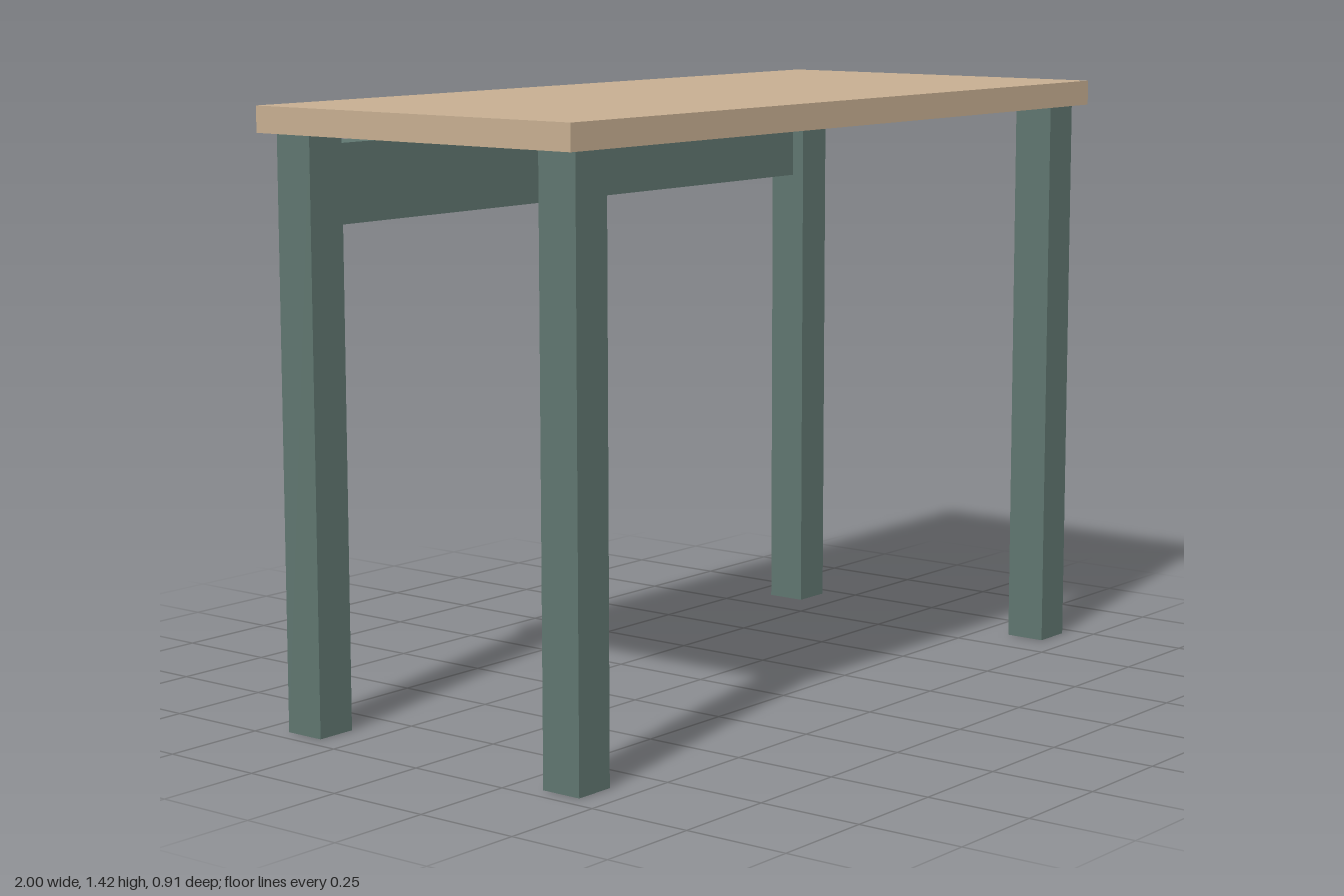
import * as THREE from 'three';

const LEG = 0.1, LEG_HEIGHT = 1.358;

export function createModel() {
  const wood = new THREE.MeshStandardMaterial({ color: 0xc6ae91 });
  wood.name = 'light wood';
  const paint = new THREE.MeshStandardMaterial({ color: 0x5f756f });
  paint.name = 'grey green paint';

  const table = new THREE.Group();
  table.name = 'table';

  function addBox(name, material, size, position) {
    const mesh = new THREE.Mesh(new THREE.BoxGeometry(...size), material);
    mesh.name = name;
    mesh.position.set(...position);
    table.add(mesh);
  }

  // Table top slab
  addBox('tableTop', wood, [2, 0.06, 0.906], [0, LEG_HEIGHT + 0.03, 0]);

  // Four square legs
  for (const [side, x] of [['Left', 0.91], ['Right', -0.91]]) {
    for (const [end, z] of [['front', 0.381], ['back', -0.381]]) {
      addBox(`${end}${side}Leg`, paint, [LEG, LEG_HEIGHT, LEG], [x, LEG_HEIGHT / 2, z]);
    }
  }

  // Back apron, set into the back legs and standing slightly proud of them
  addBox('backApron', paint, [1.826, 0.182, 0.08], [0, 1.239, -0.404]);

  return table;
}
